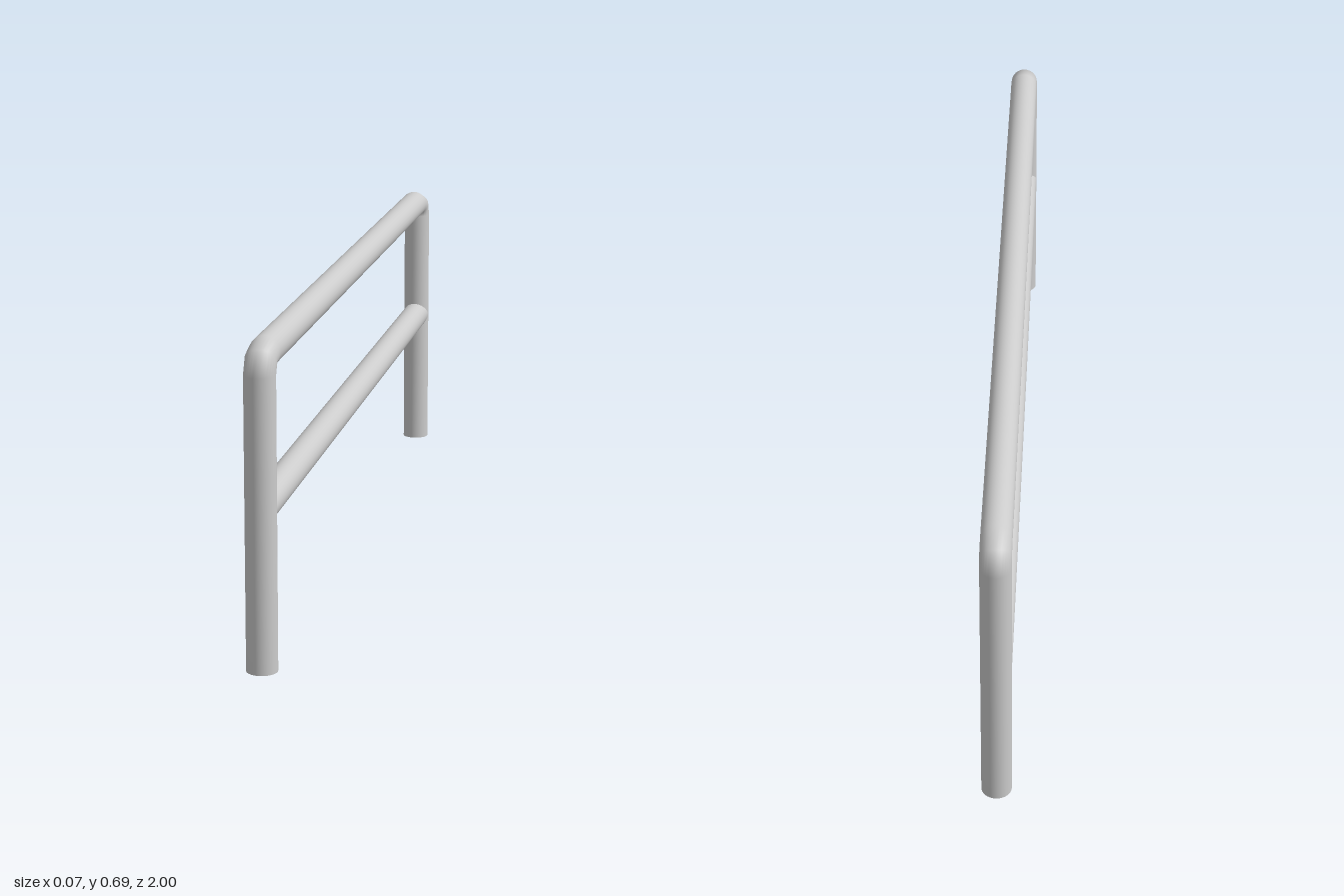
import * as THREE from 'three';

const R = 0.033;      // tube radius
const SIDES = 32;
const LEG_Z = 0.967;  // leg axis
const TOP_Y = 0.659;  // top rail axis
const MID_Y = 0.346;  // middle rail axis

// Sweeps a round section through stations [z, y, turn] in the x = 0 plane.
function sweep(stations) {
  const pos = [], index = [];
  for (const [z, y, turn] of stations) {
    for (let k = 0; k < SIDES; k++) {
      const a = (k / SIDES) * Math.PI * 2;
      const n = R * Math.sin(a);
      pos.push(R * Math.cos(a), y + n * Math.sin(turn), z + n * Math.cos(turn));
    }
  }
  for (let i = 0; i < stations.length - 1; i++) {
    for (let k = 0; k < SIDES; k++) {
      const a = i * SIDES + k, b = i * SIDES + (k + 1) % SIDES;
      index.push(a, a + SIDES, b, b, a + SIDES, b + SIDES);
    }
  }
  const g = new THREE.BufferGeometry();
  g.setAttribute('position', new THREE.Float32BufferAttribute(pos, 3));
  g.setIndex(index);
  g.computeVertexNormals();
  return g;
}

export function createModel() {
  const group = new THREE.Group();
  group.name = 'railing';
  const material = new THREE.MeshStandardMaterial({ color: 0xcccccc });
  const add = (name, geometry) => {
    const mesh = new THREE.Mesh(geometry, material);
    mesh.name = name;
    group.add(mesh);
    return mesh;
  };

  // Bent tube: up the front leg, along the top, down the back leg
  const half = [
    [LEG_Z, 0, 0],
    [LEG_Z, 0.622, 0],
    [0.952, 0.652, Math.PI / 4],
    [0.917, TOP_Y, Math.PI / 2],
  ];
  const mirrored = half.map(([z, y, t]) => [-z, y, Math.PI - t]).reverse();
  add('bentFrame', sweep([...half, ...mirrored]));

  // Flat feet closing the legs
  for (const [name, side] of [['frontFoot', 1], ['backFoot', -1]]) {
    add(name, new THREE.CircleGeometry(R, SIDES).rotateX(Math.PI / 2)).position.z = side * LEG_Z;
  }

  // Straight middle rail running into both leg axes
  const rail = new THREE.CylinderGeometry(R, R, LEG_Z * 2, SIDES, 1, true).rotateX(Math.PI / 2);
  add('middleRail', rail).position.y = MID_Y;

  return group;
}
